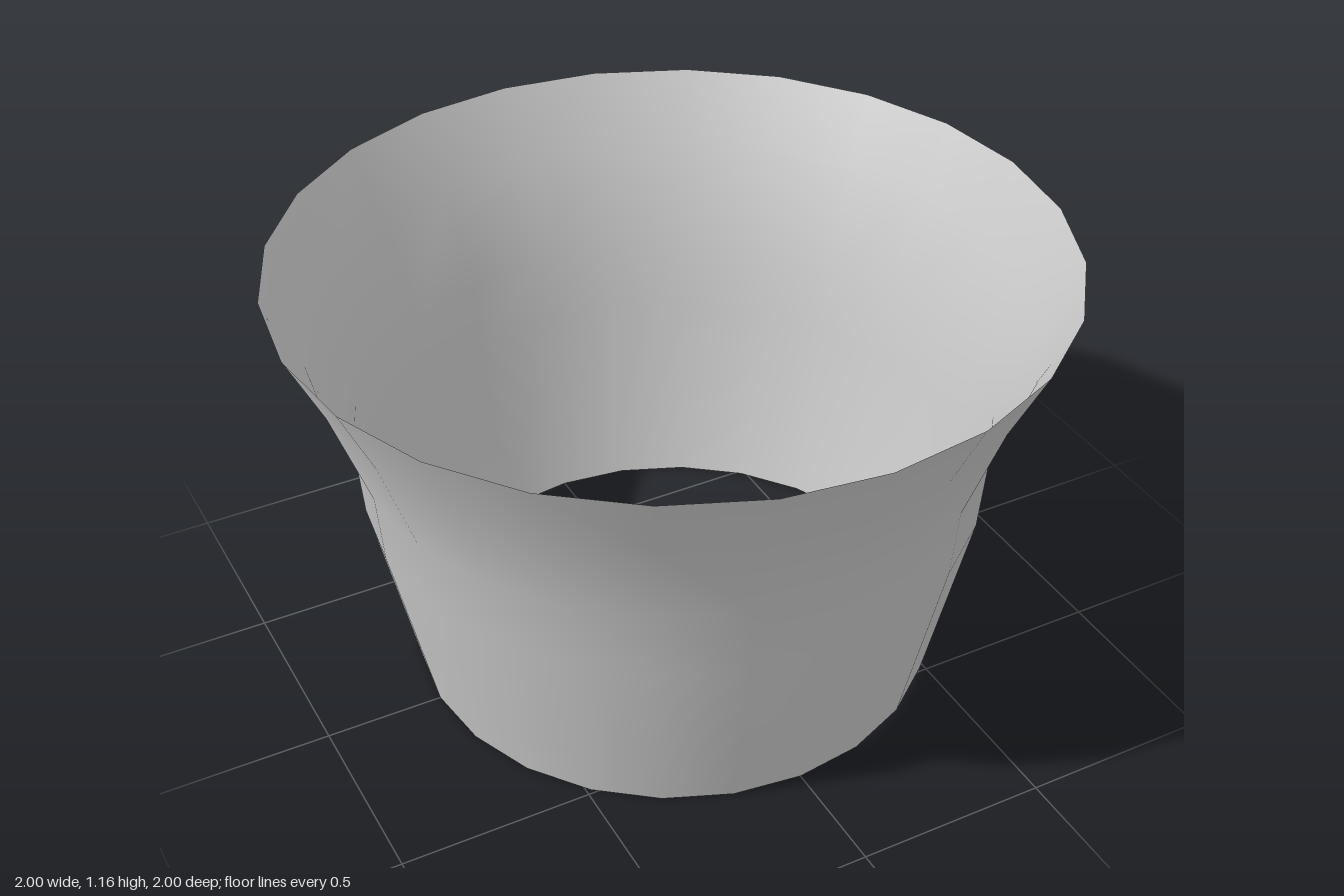
import * as THREE from 'three';

export function createModel() {
  const group = new THREE.Group();
  group.name = 'flaredCup';

  // Open, thin-walled shell: tapered base, short waist band, flared rim
  const profile = [
    [0.69, 0], [0.80, 0.51], [0.815, 0.70], [0.91, 0.97], [1, 1.16],
  ].map(([r, y]) => new THREE.Vector2(r, y));

  const material = new THREE.MeshStandardMaterial({ color: 0xcccccc, side: THREE.DoubleSide });
  const wall = new THREE.Mesh(new THREE.LatheGeometry(profile, 24), material);
  wall.name = 'cupWall';
  group.add(wall);

  return group;
}
